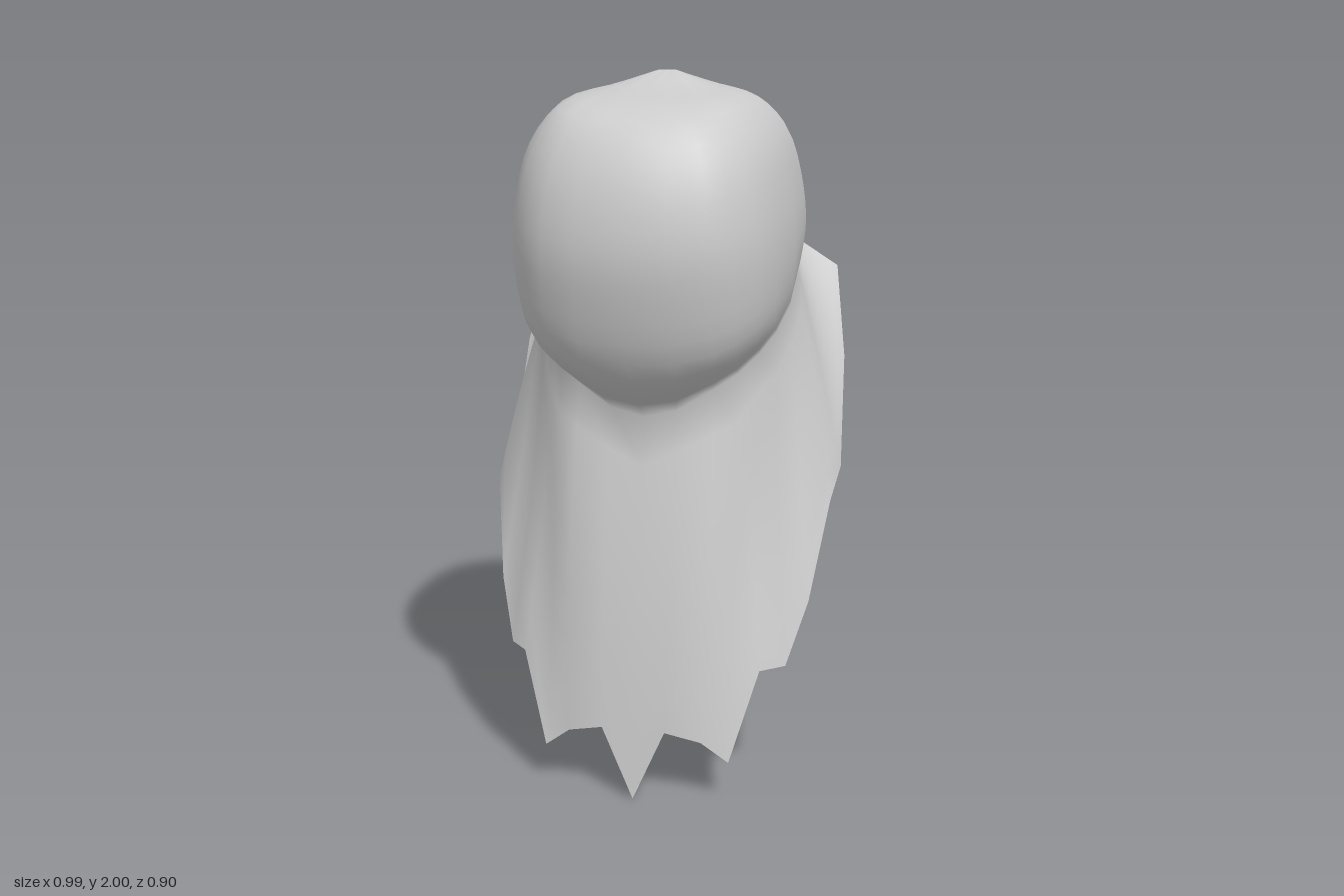
import * as THREE from 'three';

// Neck rim and ragged hem, half outlines from centre front to centre back
const RIM = [[0, 1.08, .2], [.09, 1.1, .195], [.19, 1.16, .17], [.25, 1.2, .14], [.3, 1.25, .09],
  [.335, 1.3, .03], [.355, 1.36, -.06], [.355, 1.42, -.15], [.335, 1.48, -.23], [.295, 1.53, -.3],
  [.24, 1.56, -.34], [.13, 1.585, -.365], [0, 1.6, -.37]];
const HEM = [[0, .005, .33], [.09, .21, .325], [.19, .185, .31], [.265, .125, .29], [.34, .385, .24],
  [.4, .38, .17], [.45, .55, .1], [.49, .82, 0], [.495, .88, -.15], [.48, 1.18, -.27],
  [.44, 1.43, -.36], [.24, 1.545, -.362], [0, 1.6, -.37]];
// Folds of the cloth: outward (+) or inward (-) per column
const FOLD = [.02, .018, .015, 0, -.02, -.012, 0, .01, .005, 0, 0, 0, 0];

// Head rings, top to bottom: half width, side y, front z and y, back z and y
const RINGS = [
  [.025, 2, -.07, 2, -.07, 2],
  [.13, 1.966, .06, 1.965, -.16, 1.97],
  [.26, 1.925, .32, 1.893, -.29, 1.925],
  [.34, 1.83, .41, 1.77, -.395, 1.85],
  [.38, 1.68, .45, 1.58, -.445, 1.74],
  [.39, 1.55, .43, 1.42, -.442, 1.67],
  [.38, 1.45, .36, 1.23, -.4, 1.62],
];
const HALF = RIM.length - 1, COLS = HALF * 2, HEAD_STEPS = 24, DRAPE_STEPS = 8;

// Rounded-square ring point in the direction of a rim column
function ringPoint([w, ySide, zF, yF, zB, yB], angle, pinch) {
  const s = Math.max(0, Math.sin(angle)), c = Math.cos(angle);
  const z = (zF + zB) / 2 + (zF - zB) / 2 * Math.sign(c) * Math.abs(c) ** .8;
  const y = ySide + (yF - yB) / 2 * c + ((yF + yB) / 2 - ySide) * c * c;
  return new THREE.Vector3(w * s ** .8, y - pinch, z);
}

// One strip of points from crown to hem
function column(k) {
  const rim = new THREE.Vector3(...RIM[k]), hem = new THREE.Vector3(...HEM[k]);
  const angle = Math.atan2(rim.x / .357, (rim.z + .085) / .285);
  const path = RINGS.map((r, i) => ringPoint(r, angle, i === 1 && k % 2 ? .012 : 0));
  const points = new THREE.CatmullRomCurve3([...path, rim]).getPoints(HEAD_STEPS);
  const out = new THREE.Vector3(rim.x, 0, rim.z + .1).normalize();
  for (let j = 1; j <= DRAPE_STEPS; j++) {
    const t = j / DRAPE_STEPS;
    points.push(rim.clone().lerp(hem, t).addScaledVector(out, FOLD[k] * Math.sin(Math.PI * t)));
  }
  return points;
}

function quads(from, to) {
  const index = [];
  for (let r = from; r < to; r++) {
    for (let c = 0; c < COLS; c++) {
      const n = (c + 1) % COLS, a = r * COLS, b = a + COLS;
      index.push(a + c, b + c, b + n, a + c, b + n, a + n);
    }
  }
  return index;
}

export function createModel() {
  const group = new THREE.Group();
  group.name = 'hoodedVeil';
  const cloth = new THREE.MeshStandardMaterial({ color: 0xcccccc, side: THREE.DoubleSide });
  cloth.name = 'pale grey cloth';

  // Mirror the half columns into closed rows
  const half = RIM.map((_, k) => column(k));
  const last = HEAD_STEPS + DRAPE_STEPS, positions = [];
  for (let r = 0; r <= last; r++) {
    for (let c = 0; c < COLS; c++) {
      const p = half[c <= HALF ? c : COLS - c][r];
      positions.push(c <= HALF ? p.x : -p.x, p.y, p.z);
    }
  }
  const whole = new THREE.BufferGeometry();
  whole.setAttribute('position', new THREE.Float32BufferAttribute(positions, 3));
  whole.setIndex(quads(0, last));
  whole.computeVertexNormals();

  // Hood and drape share normals, so the neck stays smooth
  const addPart = (name, from, to) => {
    const part = whole.clone().setIndex(quads(from, to));
    const mesh = new THREE.Mesh(part, cloth);
    mesh.name = name;
    group.add(mesh);
  };
  addPart('hood', 0, HEAD_STEPS);
  addPart('raggedDrape', HEAD_STEPS, last);
  return group;
}
